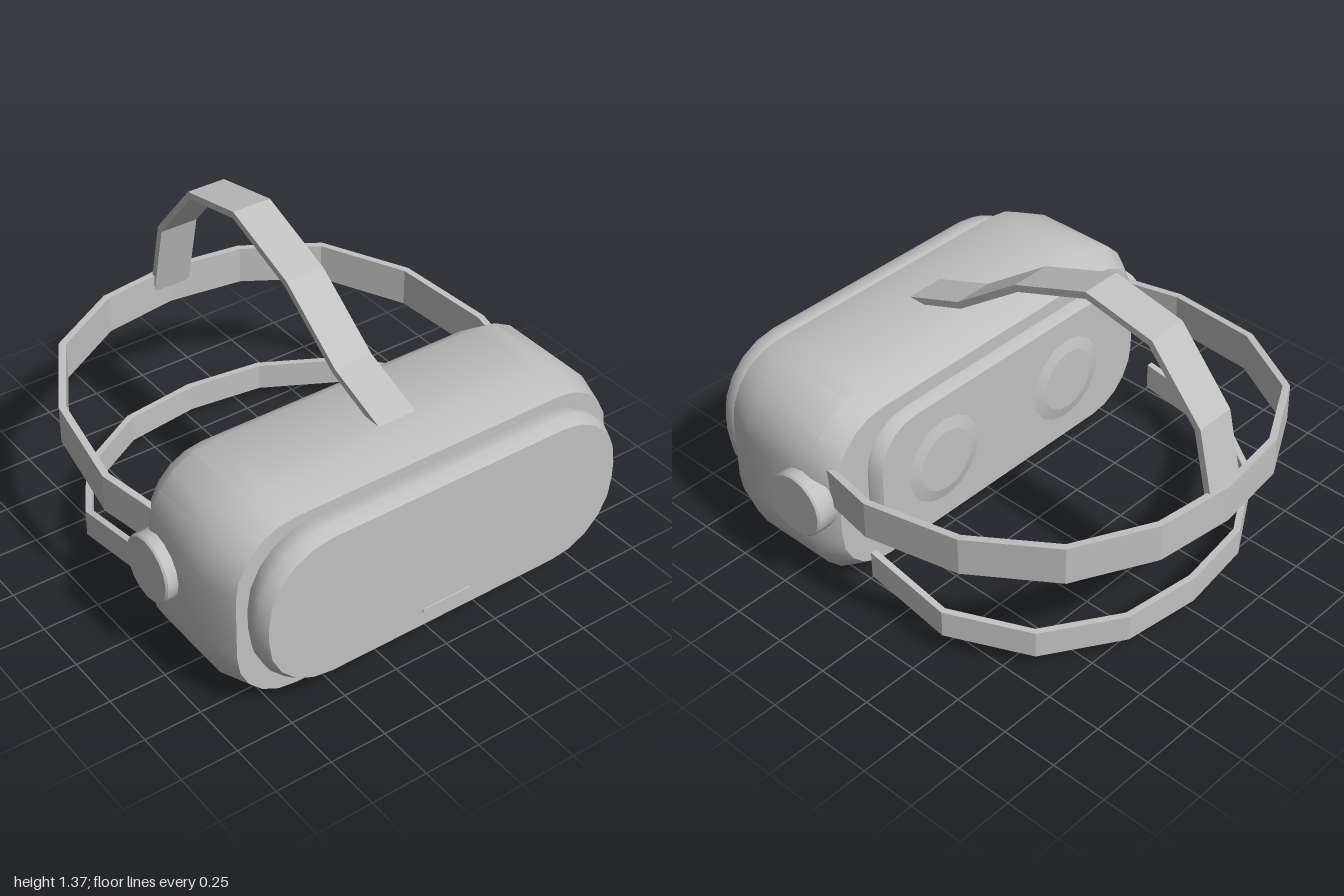
import * as THREE from 'three';
import { toCreasedNormals } from 'three/addons/utils/BufferGeometryUtils.js';

const V = (x, y, z) => new THREE.Vector3(x, y, z);

// Closed skin over counter-clockwise cross-sections, capped at both ends
function skin(sections, crease) {
  const pos = [];
  const tri = (...pts) => pts.forEach((p) => pos.push(p.x, p.y, p.z));
  const n = sections[0].length;
  for (let i = 0; i < sections.length - 1; i++) {
    const a = sections[i], b = sections[i + 1];
    for (let k = 0; k < n; k++) {
      const m = (k + 1) % n;
      tri(a[k], a[m], b[m]);
      tri(a[k], b[m], b[k]);
    }
  }
  const first = sections[0], last = sections[sections.length - 1];
  for (let k = 1; k < n - 1; k++) {
    tri(last[0], last[k], last[k + 1]);
    tri(first[0], first[k + 1], first[k]);
  }
  const g = new THREE.BufferGeometry();
  g.setAttribute('position', new THREE.Float32BufferAttribute(pos, 3));
  return toCreasedNormals(g, crease);
}

// Rounded rectangle outline at depth z
function roundRect(z, hx, hy, r, cy, seg = 5) {
  const pts = [];
  [[1, 1], [-1, 1], [-1, -1], [1, -1]].forEach(([sx, sy], q) => {
    for (let i = 0; i <= seg; i++) {
      const a = (q + i / seg) * Math.PI / 2;
      pts.push(V(sx * (hx - r) + r * Math.cos(a), cy + sy * (hy - r) + r * Math.sin(a), z));
    }
  });
  return pts;
}

// Shell from rows of [z, half width, half height, corner radius]
const shell = (rows, cy) => skin(rows.map(([z, hx, hy, r]) => roundRect(z, hx, hy, r, cy)), 0.68);

// Flat strap along a path, its width running along one axis
function strap(path, axis, width, thick) {
  const sections = path.map((p, i) => {
    const dir = (a, b) => b.clone().sub(a).projectOnPlane(axis).normalize();
    const t0 = i > 0 ? dir(path[i - 1], p) : dir(p, path[i + 1]);
    const t1 = i < path.length - 1 ? dir(p, path[i + 1]) : t0;
    const t = t0.clone().add(t1).normalize();
    const n = t.clone().cross(axis).multiplyScalar(thick / 2 / t.dot(t0));
    const w = axis.clone().multiplyScalar(width / 2);
    return [[1, 1], [-1, 1], [-1, -1], [1, -1]].map(([a, b]) =>
      p.clone().addScaledVector(w, a).addScaledVector(n, b));
  });
  return skin(sections, 0.1);
}

// Half a path mirrored across x = 0; its last point lies on the centre line
const mirrored = (half) => [
  ...half.map((p) => V(...p)),
  ...half.slice(0, -1).reverse().map(([x, y, z]) => V(-x, y, z)),
];

export function createModel() {
  const model = new THREE.Group();
  model.name = 'headset';
  const grey = new THREE.MeshStandardMaterial({ color: 0xc0c0c0 });
  grey.name = 'grey plastic';
  const add = (name, geometry) => {
    const mesh = new THREE.Mesh(geometry, grey);
    mesh.name = name;
    model.add(mesh);
    return mesh;
  };

  // Main housing
  add('housing', shell([
    [0.25, 0.885, 0.38, 0.25],
    [0.345, 0.945, 0.446, 0.3],
    [0.72, 0.945, 0.446, 0.3],
    [0.86, 0.9, 0.41, 0.27],
  ], 0.446));

  // Raised front plate with its slot
  add('frontPlate', shell([
    [0.85, 0.845, 0.335, 0.29],
    [0.9, 0.866, 0.352, 0.31],
    [0.94, 0.866, 0.352, 0.31],
    [0.987, 0.842, 0.328, 0.29],
  ], 0.48));
  add('frontSlot', shell([[0.986, 0.12, 0.011, 0.01], [0.993, 0.12, 0.011, 0.01]], 0.224));

  // Face pad
  add('facePad', shell([
    [0.196, 0.7, 0.295, 0.19],
    [0.238, 0.73, 0.312, 0.21],
    [0.26, 0.73, 0.312, 0.21],
  ], 0.45));

  for (const s of [1, -1]) {
    // Lens: thin bevelled disc
    const lens = add(s > 0 ? 'leftLens' : 'rightLens',
      toCreasedNormals(new THREE.CylinderGeometry(0.145, 0.2, 0.014, 16), 0.1));
    lens.rotation.x = -Math.PI / 2;
    lens.position.set(s * 0.37, 0.45, 0.173);

    // Side knob with a slight bevel
    const knob = add(s > 0 ? 'leftKnob' : 'rightKnob', toCreasedNormals(new THREE.LatheGeometry(
      [[0, -0.05], [0.144, -0.05], [0.144, 0.042], [0.137, 0.05], [0, 0.05]]
        .map((p) => new THREE.Vector2(...p)), 16), 0.5));
    knob.rotation.z = -s * Math.PI / 2;
    knob.position.set(s * 0.948, 0.465, 0.397);
  }

  // Straps around the head
  const up = V(0, 1, 0);
  add('headStrap', strap(mirrored([
    [0.885, 0.563, 0.31], [0.94, 0.575, 0.03], [0.875, 0.612, -0.405],
    [0.668, 0.64, -0.755], [0.343, 0.652, -0.935], [0, 0.655, -0.98],
  ]), up, 0.17, 0.03));
  add('lowerStrap', strap(mirrored([
    [0.85, 0.24, 0.108], [0.856, 0.173, -0.285],
    [0.667, 0.132, -0.6], [0.343, 0.12, -0.795], [0, 0.119, -0.84],
  ]), up, 0.122, 0.028));

  // Strap over the crown
  add('topStrap', strap([
    [0.66, 0.87], [0.355, 0.985], [0.035, 1.218], [-0.325, 1.354],
    [-0.647, 1.29], [-0.89, 1.008], [-0.97, 0.66],
  ].map(([z, y]) => V(0, y, z)), V(1, 0, 0), 0.178, 0.03));

  return model;
}
